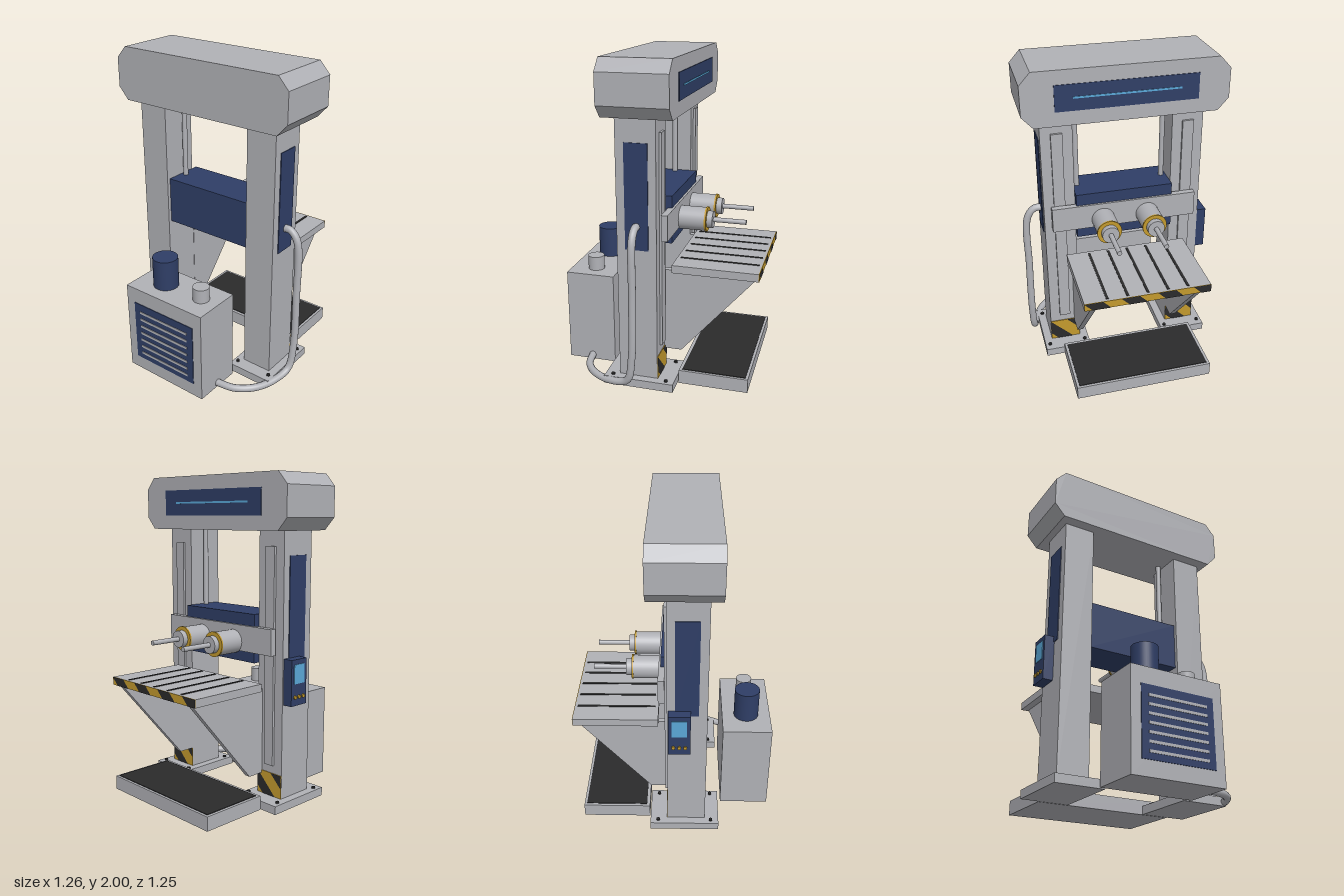
import * as THREE from 'three';

const mat = (name, color) => Object.assign(new THREE.MeshStandardMaterial({ color }), { name });

export function createModel() {
  const root = new THREE.Group();
  root.name = 'press';
  const grey = mat('machine grey', 0xb0b1b6);
  const navy = mat('navy', 0x2f3e66);
  const yellow = mat('safety yellow', 0xc39a2e);
  const dark = mat('dark rubber', 0x2a2a2b);
  const blue = mat('screen blue', 0x5aa8d8);
  const ZC = -0.008; // centre line of the frame

  const add = (name, geo, material) => {
    const m = new THREE.Mesh(geo, material);
    m.name = name;
    root.add(m);
    return m;
  };
  // box given by its limits on each axis
  const box = (name, material, x0, x1, y0, y1, z0, z1) => {
    const m = add(name, new THREE.BoxGeometry(x1 - x0, y1 - y0, z1 - z0), material);
    m.position.set((x0 + x1) / 2, (y0 + y1) / 2, (z0 + z1) / 2);
    return m;
  };
  const cylY = (name, material, r, x, z, y0, y1, seg = 32) => {
    const m = add(name, new THREE.CylinderGeometry(r, r, y1 - y0, seg), material);
    m.position.set(x, (y0 + y1) / 2, z);
    return m;
  };
  const cylX = (name, material, r, x0, x1, y, z) => {
    const m = add(name, new THREE.CylinderGeometry(r, r, x1 - x0, 32), material);
    m.rotation.z = -Math.PI / 2;
    m.position.set((x0 + x1) / 2, y, z);
    return m;
  };
  // yellow plate on a +x face with slanted dark stripes clipped to its outline
  const hazard = (name, x, y0, y1, zc, width, first, period, stripe) => {
    box(name, yellow, x, x + 0.004, y0, y1, zc - width / 2, zc + width / 2);
    const h = y1 - y0, steps = 24;
    const clamp = (u) => Math.min(width, Math.max(0, u));
    const shapes = [];
    for (let s = first - period; s < width + h; s += period) {
      const left = [], right = [];
      for (let i = 0; i <= steps; i++) {
        const v = (h * i) / steps, u = s + h - v;
        if (clamp(u + stripe) - clamp(u) < 1e-4) continue;
        left.push(new THREE.Vector2(clamp(u), v));
        right.push(new THREE.Vector2(clamp(u + stripe), v));
      }
      if (left.length > 1) shapes.push(new THREE.Shape([...right, ...left.reverse()]));
    }
    const m = add(name + 'Stripes', new THREE.ShapeGeometry(shapes), dark);
    m.rotation.y = Math.PI / 2;
    m.position.set(x + 0.006, y0, zc + width / 2);
  };

  // crown with chamfered ends
  const hw = 0.617, c = 0.067, d = 0.074;
  const crown = new THREE.Shape([
    [-hw + c, 1.67], [hw - c, 1.67], [hw, 1.67 + d], [hw, 2 - d],
    [hw - c, 2], [-hw + c, 2], [-hw, 2 - d], [-hw, 1.67 + d],
  ].map((p) => new THREE.Vector2(...p)));
  const crownMesh = add('crown', new THREE.ExtrudeGeometry(crown, { depth: 0.42, bevelEnabled: false }), grey);
  crownMesh.rotation.y = Math.PI / 2;
  crownMesh.position.set(-0.27, 0, ZC);
  box('crownPanel', navy, 0.148, 0.154, 1.757, 1.915, -0.434, 0.418);
  box('crownLightStrip', blue, 0.15, 0.157, 1.83, 1.841, -0.328, 0.312);

  // the two columns with everything that repeats on each side
  for (const s of [1, -1]) {
    const z = ZC + s * 0.407;
    box('basePlate', grey, -0.29, 0.15, 0, 0.052, z - 0.15, z + 0.15);
    for (const bx of [-0.24, 0.1]) {
      for (const bz of [-0.12, 0.12]) cylY('baseBolt', dark, 0.012, bx, z + bz, 0.05, 0.062, 6);
    }
    box('column', grey, -0.202, 0.04, 0.05, 1.67, z - 0.098, z + 0.098);
    box('guideRail', grey, 0.04, 0.055, 0.25, 1.58, z - 0.035, z + 0.035);
    hazard('columnHazard', 0.04, 0.052, 0.198, z, 0.194, -0.1, 0.21, 0.1);
    const pz = z + s * 0.099;
    box('columnPanel', navy, -0.15, -0.008, 0.887, 1.527, pz - 0.004, pz + 0.004);
    cylY('liftRod', grey, 0.016, -0.06, ZC + s * 0.277, 1.16, 1.68, 20);

    // gusset under the table
    const gusset = new THREE.Shape([[0.04, 0.18], [0.15, 0.18], [0.612, 0.714], [0.04, 0.714]]
      .map((p) => new THREE.Vector2(...p)));
    const g = add('tableGusset', new THREE.ExtrudeGeometry(gusset, { depth: 0.036, bevelEnabled: false }), grey);
    g.position.z = ZC + s * 0.325 - 0.018;

    // spindle
    const sz = ZC + s * 0.143;
    cylX('spindleBody', grey, 0.073, 0.09, 0.262, 0.992, sz);
    cylX('spindleRing', yellow, 0.077, 0.254, 0.265, 0.992, sz);
    cylX('spindleCollar', grey, 0.053, 0.26, 0.3, 0.992, sz);
    cylX('spindleShaft', grey, 0.015, 0.3, 0.503, 0.992, sz);
  }

  // moving head
  box('headBlock', navy, -0.18, 0.08, 0.873, 1.172, -0.316, 0.3);
  box('crosshead', grey, 0.055, 0.094, 0.938, 1.098, -0.466, 0.454);

  // work table with slots
  box('table', grey, 0.098, 0.625, 0.713, 0.762, -0.398, 0.378);
  for (let i = -2; i <= 2; i++) {
    const z = ZC - 0.003 + i * 0.124;
    box('tableSlot', dark, 0.12, 0.609, 0.758, 0.765, z - 0.008, z + 0.008);
  }
  hazard('tableHazard', 0.624, 0.713, 0.762, -0.01, 0.776, 0.0, 0.222, 0.111);

  // operator platform
  box('platform', grey, 0.157, 0.59, 0, 0.088, -0.45, 0.43);
  box('platformMat', dark, 0.177, 0.574, 0.084, 0.092, -0.432, 0.414);

  // hydraulic cabinet
  box('cabinet', grey, -0.625, -0.311, 0, 0.602, -0.308, 0.288);
  cylY('pumpMotor', navy, 0.08, -0.468, -0.117, 0.6, 0.8, 40);
  cylY('fillerCap', grey, 0.052, -0.468, 0.166, 0.6, 0.692);
  box('ventPanel', navy, -0.629, -0.622, 0.09, 0.5, -0.245, 0.225);
  for (let i = 0; i < 7; i++) {
    const y = 0.135 + i * 0.051;
    box('ventSlat', grey, -0.632, -0.627, y - 0.008, y + 0.008, -0.2, 0.18);
  }

  // control box on the right column
  box('controlBox', navy, -0.102, 0.032, 0.642, 0.922, -0.575, -0.511);
  box('controlScreen', blue, -0.08, 0.01, 0.775, 0.892, -0.579, -0.573);
  for (let i = -1; i <= 1; i++) {
    const b = add('controlButton', new THREE.CylinderGeometry(0.011, 0.011, 0.012, 16), yellow);
    b.rotation.x = Math.PI / 2;
    b.position.set(-0.035 + i * 0.036, 0.695, -0.578);
  }

  // hose from the left column to the cabinet
  const path = new THREE.CatmullRomCurve3([
    [-0.08, 1.03, 0.48], [-0.08, 1.03, 0.54], [-0.08, 0.97, 0.588], [-0.08, 0.6, 0.6],
    [-0.09, 0.22, 0.602], [-0.125, 0.07, 0.59], [-0.25, 0.03, 0.555],
    [-0.37, 0.027, 0.495], [-0.445, 0.027, 0.4], [-0.47, 0.03, 0.27],
  ].map((p) => new THREE.Vector3(...p)));
  add('hose', new THREE.TubeGeometry(path, 80, 0.023, 14), grey);

  return root;
}
